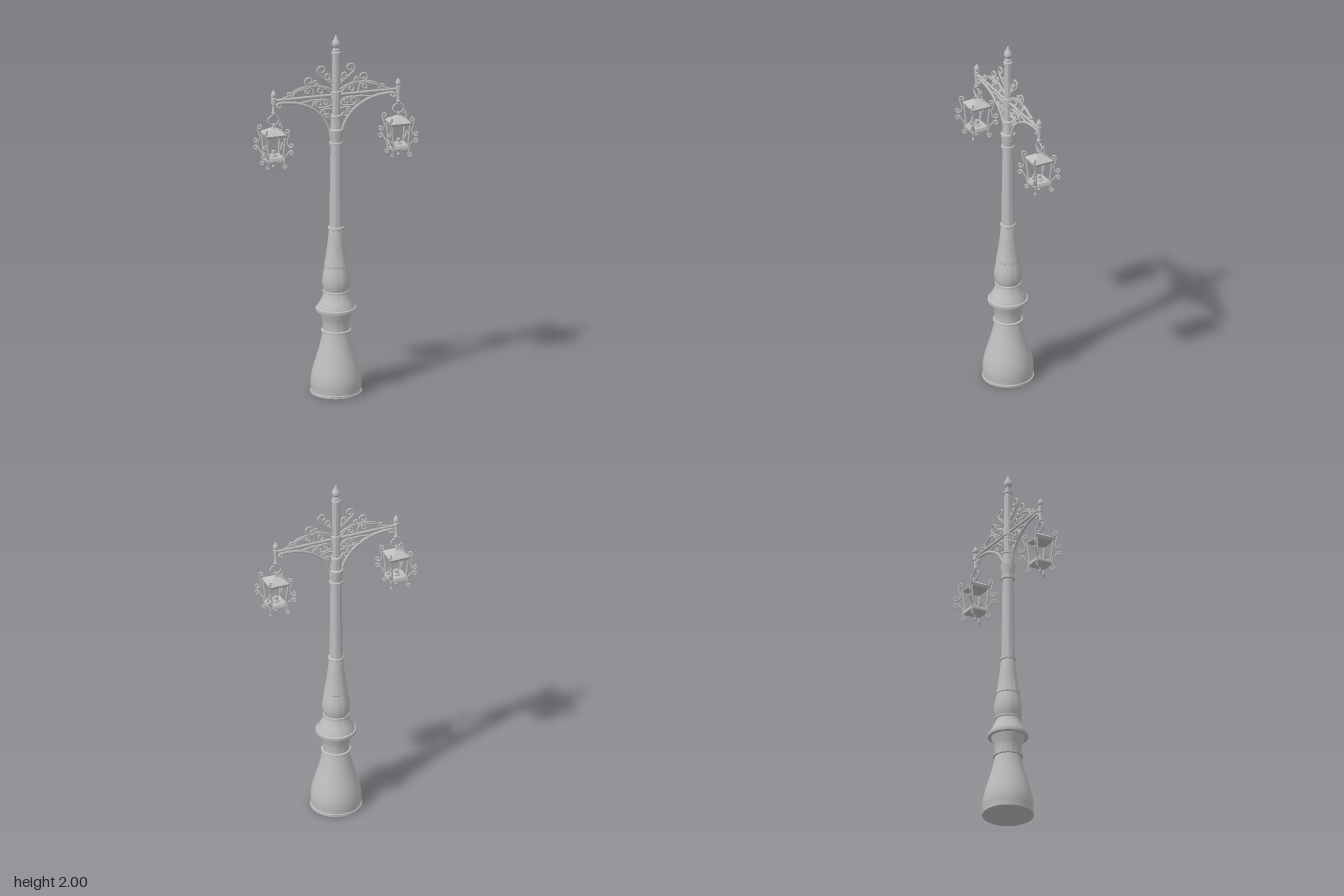
import * as THREE from 'three';
import { toCreasedNormals } from 'three/addons/utils/BufferGeometryUtils.js';

const iron = new THREE.MeshStandardMaterial({ color: 0xbdbdbd });
iron.name = 'castIron';

function add(parent, name, geometry, x = 0, y = 0, z = 0) {
  const mesh = new THREE.Mesh(geometry, iron);
  mesh.name = name;
  mesh.position.set(x, y, z);
  parent.add(mesh);
  return mesh;
}

// Turned part from [radius, height] pairs
function turned(profile, sides) {
  const pts = profile.map(([r, y]) => new THREE.Vector2(r, y));
  return toCreasedNormals(new THREE.LatheGeometry(pts, sides), 0.6);
}

// Square frustum: half widths at bottom and top
function square(bottom, top, y0, y1) {
  const g = new THREE.CylinderGeometry(top * Math.SQRT2, bottom * Math.SQRT2, y1 - y0, 4);
  g.rotateY(Math.PI / 4);
  g.translate(0, (y0 + y1) / 2, 0);
  return toCreasedNormals(g, 0.5);
}

// Spiral from the rim inwards: centre, radius, start angle and sweep in degrees
function curl(cx, cy, r, start, sweep) {
  const pts = [];
  for (let i = 0; i <= 12; i++) {
    const t = i / 12;
    const a = THREE.MathUtils.degToRad(start + sweep * t);
    const q = r * (1 - 0.65 * t);
    pts.push([cx + q * Math.cos(a), cy + q * Math.sin(a)]);
  }
  return pts;
}

function rod(points, radius, segments = 56) {
  const curve = new THREE.CatmullRomCurve3(points.map(([x, y]) => new THREE.Vector3(x, y, 0)));
  return new THREE.TubeGeometry(curve, segments, radius, 6);
}

function createPost() {
  const post = new THREE.Group();
  post.name = 'post';
  // Bell-shaped base up to the wide flange
  add(post, 'base', turned([
    [0, 0], [0.138, 0], [0.138, 0.012], [0.133, 0.014], [0.136, 0.04], [0.137, 0.065],
    [0.132, 0.105], [0.121, 0.15], [0.106, 0.2], [0.091, 0.25], [0.079, 0.3], [0.072, 0.338],
    [0.08, 0.34], [0.08, 0.35], [0.071, 0.353], [0.071, 0.385], [0.076, 0.415], [0.088, 0.445],
    [0.09, 0.455], [0.108, 0.457], [0.11, 0.466], [0.108, 0.475], [0.1, 0.478]], 48));
  // Vase section
  add(post, 'vase', turned([
    [0.1, 0.478], [0.098, 0.487], [0.084, 0.51], [0.073, 0.535], [0.066, 0.558], [0.071, 0.56],
    [0.071, 0.57], [0.066, 0.573], [0.072, 0.592], [0.075, 0.62], [0.073, 0.65], [0.066, 0.685],
    [0.061, 0.707], [0.064, 0.71], [0.063, 0.72], [0.059, 0.735], [0.052, 0.785], [0.045, 0.84],
    [0.039, 0.9], [0.037, 0.908], [0.042, 0.911], [0.042, 0.924], [0.036, 0.928]], 48));
  // Straight shaft and collar
  add(post, 'shaft', turned([
    [0.036, 0.928], [0.03, 1.385], [0.037, 1.388], [0.037, 1.4], [0.032, 1.404], [0.034, 1.43],
    [0.039, 1.462], [0.039, 1.472], [0.03, 1.477], [0.026, 1.535], [0.03, 1.538], [0.03, 1.55],
    [0.022, 1.554], [0.022, 1.64], [0.027, 1.643], [0.027, 1.685], [0.021, 1.688],
    [0.02, 1.89]], 32));
  // Finial
  add(post, 'finial', turned([
    [0.02, 1.89], [0.025, 1.892], [0.025, 1.905], [0.018, 1.908], [0.018, 1.92], [0.012, 1.925],
    [0.014, 1.932], [0.021, 1.94], [0.023, 1.952], [0.019, 1.965], [0.011, 1.976],
    [0.008, 1.985], [0.005, 1.995], [0, 2]], 24));
  return post;
}

function createLantern() {
  const lantern = new THREE.Group();
  lantern.name = 'lantern';
  // Hanging ring and loop
  add(lantern, 'hangingRing', new THREE.TorusGeometry(0.031, 0.005, 6, 28), 0, 1.555, 0).scale.y = 0.85;
  add(lantern, 'loop', new THREE.TorusGeometry(0.012, 0.004, 6, 16), 0, 1.523, 0).rotation.y = Math.PI / 2;
  // Stepped roof
  add(lantern, 'roofPeak', square(0.045, 0.008, 1.492, 1.515));
  add(lantern, 'roofPlate', square(0.058, 0.045, 1.482, 1.492));
  add(lantern, 'roofRim', square(0.052, 0.058, 1.466, 1.482));
  // Stepped floor with drop below
  add(lantern, 'floorPlate', square(0.048, 0.044, 1.343, 1.355));
  add(lantern, 'floorRim', square(0.05, 0.05, 1.333, 1.343));
  add(lantern, 'underside', square(0.012, 0.042, 1.318, 1.333));
  add(lantern, 'drop', turned([[0, 1.278], [0.005, 1.287], [0.009, 1.298], [0.005, 1.306],
    [0.01, 1.318]], 12));
  // Lamp holder
  add(lantern, 'lampHolder', turned([[0.02, 1.355], [0.02, 1.362], [0.011, 1.365],
    [0.011, 1.385], [0, 1.385]], 16));
  // Four corners: leaning bar with a pair of scrolls on the diagonal
  for (let i = 0; i < 4; i++) {
    const corner = new THREE.Group();
    corner.name = 'corner';
    corner.rotation.y = Math.PI / 4 + i * Math.PI / 2;
    lantern.add(corner);
    add(corner, 'cornerBar', rod([[0.058, 1.35], [0.072, 1.47]], 0.006, 1));
    add(corner, 'upperScroll', rod([
      ...curl(0.082, 1.503, 0.014, -10, 400).reverse(),
      [0.091, 1.475], [0.083, 1.45], [0.088, 1.425],
      ...curl(0.106, 1.428, 0.014, 225, 400)], 0.0045));
    add(corner, 'lowerScroll', rod([
      ...curl(0.106, 1.386, 0.014, 135, -400).reverse(),
      [0.086, 1.378], [0.07, 1.36], [0.066, 1.33],
      ...curl(0.071, 1.306, 0.014, 130, 400)], 0.0045));
  }
  return lantern;
}

function createArm() {
  const arm = new THREE.Group();
  arm.name = 'arm';
  // Main bar, curved brace and end post
  add(arm, 'bar', rod([[0, 1.664], [0.35, 1.664]], 0.008, 1));
  add(arm, 'brace', rod([[0.03, 1.435], [0.036, 1.47], [0.06, 1.525], [0.1, 1.575], [0.155, 1.612],
    [0.22, 1.637], [0.28, 1.645], ...curl(0.318, 1.63, 0.016, 90, -330)], 0.008));
  add(arm, 'endPost', turned([
    [0, 1.578], [0.009, 1.583], [0.013, 1.595], [0.009, 1.602], [0.009, 1.64], [0.013, 1.643],
    [0.013, 1.678], [0.008, 1.682], [0.015, 1.69], [0.016, 1.698], [0.01, 1.711],
    [0.004, 1.72], [0, 1.725]], 16), 0.35);
  // Scrollwork above and below the bar
  const scrolls = [
    [[0.02, 1.73], [0.045, 1.742], [0.075, 1.768], ...curl(0.08, 1.808, 0.027, -45, 400)],
    [...curl(0.05, 1.77, 0.02, -80, -360).reverse(), [0.03, 1.748], [0.02, 1.71]],
    [[0.02, 1.69], [0.06, 1.712], [0.12, 1.722], ...curl(0.152, 1.752, 0.026, -60, 400)],
    [...curl(0.118, 1.742, 0.016, -70, -360).reverse(), [0.1, 1.727], [0.07, 1.714]],
    [[0.03, 1.675], [0.055, 1.7], ...curl(0.085, 1.692, 0.02, 100, -360)],
    [[0.125, 1.672], [0.135, 1.71], [0.175, 1.722], [0.225, 1.71], [0.258, 1.685], [0.3, 1.67]],
    [...curl(0.165, 1.696, 0.018, 90, 360).reverse(), [0.2, 1.708], [0.23, 1.695], [0.245, 1.668]],
    [...curl(0.262, 1.688, 0.014, 200, -360).reverse(), [0.245, 1.668]],
    [[0.02, 1.6], [0.04, 1.635], [0.08, 1.645], [0.12, 1.635], [0.135, 1.606]],
    [[0.02, 1.61], [0.045, 1.602], ...curl(0.095, 1.62, 0.022, -100, 400)],
    [...curl(0.06, 1.622, 0.015, 90, 360).reverse(), [0.085, 1.64], [0.13, 1.645], [0.2, 1.635]],
    [[0.02, 1.585], [0.045, 1.59], ...curl(0.07, 1.57, 0.018, 100, -380)],
    [[0.025, 1.52], [0.03, 1.548], ...curl(0.047, 1.548, 0.014, 160, -360)],
  ];
  scrolls.forEach((points) => add(arm, 'scroll', rod(points, 0.0055)));
  const lantern = createLantern();
  lantern.position.x = 0.35;
  arm.add(lantern);
  return arm;
}

export function createModel() {
  const model = new THREE.Group();
  model.name = 'streetLamp';
  model.add(createPost());
  // Two opposite arms
  for (const turn of [0, Math.PI]) {
    const arm = createArm();
    arm.rotation.y = turn;
    model.add(arm);
  }
  return model;
}
